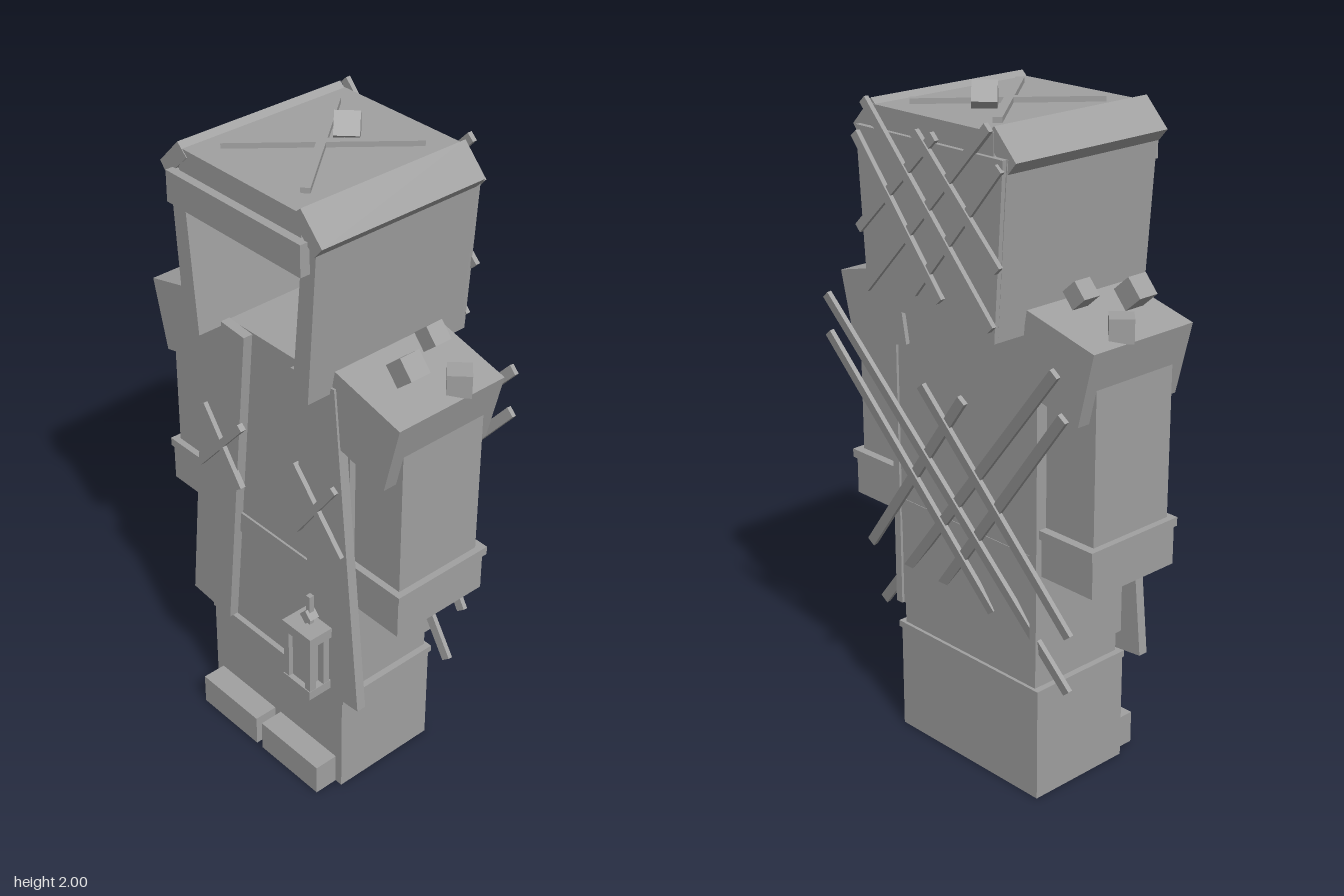
import * as THREE from 'three';

const grey = new THREE.MeshStandardMaterial({ color: 0xa0a0a0, flatShading: true });
grey.name = 'plain grey';

export function createModel() {
  const model = new THREE.Group();
  model.name = 'hoodedFigure';

  const add = (name, geo) => {
    const m = new THREE.Mesh(geo, grey);
    m.name = name;
    model.add(m);
    return m;
  };
  // box from its min and max on each axis
  const box = (name, x0, x1, y0, y1, z0, z1) => {
    const m = add(name, new THREE.BoxGeometry(Math.abs(x1 - x0), y1 - y0, z1 - z0));
    m.position.set((x0 + x1) / 2, (y0 + y1) / 2, (z0 + z1) / 2);
    return m;
  };
  // outline in x and y, mirrored by s, swept from z0 to z1
  const slab = (name, pts, s, z0, z1) => {
    const shape = new THREE.Shape(pts.map(([x, y]) => new THREE.Vector2(s * x, y)));
    const geo = new THREE.ExtrudeGeometry(shape, { depth: z1 - z0, bevelEnabled: false });
    return add(name, geo.translate(0, 0, z0));
  };
  // straight stick between two points, lying flat against a normal
  const stick = (name, a, b, width, thick, normal) => {
    const p = new THREE.Vector3(...a), q = new THREE.Vector3(...b);
    const dir = q.clone().sub(p), len = dir.length();
    dir.normalize();
    const side = new THREE.Vector3().crossVectors(dir, new THREE.Vector3(...normal)).normalize();
    const out = new THREE.Vector3().crossVectors(side, dir);
    const m = add(name, new THREE.BoxGeometry(width, len, thick));
    m.quaternion.setFromRotationMatrix(new THREE.Matrix4().makeBasis(side, dir, out));
    m.position.copy(p.add(q).multiplyScalar(0.5));
  };
  const cube = (name, size, x, y, z, ry, rz) => {
    const m = add(name, new THREE.BoxGeometry(size, size, size));
    m.position.set(x, y, z);
    m.rotation.set(0, ry, rz, 'YXZ');
  };

  // legs, torso, belt and hem
  box('legs', -0.29, 0.288, 0, 0.35, -0.165, 0.18);
  box('torso', -0.275, 0.275, 0.35, 1.4, -0.16, 0.165);
  box('coatBack', -0.275, 0.275, 0.42, 1.4, -0.17, -0.16);
  box('belt', -0.28, 0.28, 0.69, 0.76, -0.172, 0.172);
  box('hem', -0.295, 0.295, 0.33, 0.35, -0.17, 0.182);

  for (const s of [-1, 1]) {
    box('shoe', s * 0.0125, s * 0.263, 0, 0.1, 0.17, 0.255);
    box('coatSide', s * 0.27, s * 0.295, 0.42, 1.4, -0.178, 0.165);
    // coat front flap and its stitched cross
    slab('coatFlap', [[0.095, 1.395], [0.265, 1.41], [0.37, 0.368], [0.2, 0.352]], s, 0.165, 0.195);
    stick('chestStitch', [s * 0.11, 1.1, 0.2], [s * 0.3, 0.885, 0.2], 0.022, 0.018, [0, 0, 1]);
    stick('chestStitch', [s * 0.275, 1.1, 0.2], [s * 0.12, 0.885, 0.2], 0.022, 0.018, [0, 0, 1]);
    // arm, cuff and cuff trim
    box('arm', s * 0.27, s * 0.472, 0.83, 1.36, -0.142, 0.145);
    box('cuff', s * 0.25, s * 0.485, 0.705, 0.83, -0.158, 0.16);
    box('cuffTrim', s * 0.245, s * 0.492, 0.82, 0.846, -0.168, 0.165);
    // sloping shoulder pad with crystals
    slab('shoulderPad', [[0.26, 1.46], [0.5, 1.4], [0.448, 1.19], [0.22, 1.245]], s, -0.183, 0.188);
    cube('shoulderCrystal', 0.066, s * 0.467, 1.433, -0.05, Math.PI / 4, 0);
    cube('shoulderCrystal', 0.066, s * 0.403, 1.488, 0.07, 0, s * 0.72);
    cube('shoulderCrystal', 0.056, s * 0.345, 1.5, -0.072, 0, s * 0.72);
    // hood wall, leaning in towards the neck, and slanted roof edge
    slab('hoodWall', [[0.285, 1.87], [0.25, 1.39], [0.19, 1.39], [0.235, 1.87]], s, -0.275, 0.27);
    slab('roofEdge', [[0.312, 1.865], [0.235, 1.945], [0.2, 1.912], [0.283, 1.832]], s, -0.272, 0.277);
    stick('roofCross', [-0.165, 1.937, s * -0.195], [0.165, 1.937, s * 0.2], 0.025, 0.016, [0, 1, 0]);
    // lattice of sticks on the back and on the hood
    for (const [x0, y0, x1, y1] of [[0.45, 1.36, -0.39, 0.38], [0.465, 1.24, -0.11, 0.53], [0.08, 1.18, -0.415, 0.57]]) {
      const z = (y) => -0.092 - 0.13 * y - (s > 0 ? 0.006 : 0);
      stick('backStick', [s * x0, y0, z(y0)], [s * x1, y1, z(y1)], 0.03, 0.014, [0, 0.13, 1]);
    }
    for (const [x0, y0, x1, y1] of [[0.235, 1.945, -0.25, 1.43], [0.275, 1.85, -0.055, 1.46], [0.035, 1.89, -0.275, 1.59]]) {
      const z = s > 0 ? -0.296 : -0.291;
      stick('hoodStick', [s * x0, y0, z], [s * x1, y1, z], 0.027, 0.014, [0, 0, 1]);
    }
  }

  // hood back, roof, brim and top crystal
  slab('hoodBack', [[0.282, 1.87], [0.25, 1.39], [-0.25, 1.39], [-0.282, 1.87]], 1, -0.288, -0.235);
  box('roof', -0.235, 0.235, 1.86, 1.93, -0.275, 0.275);
  box('brim', -0.26, 0.26, 1.775, 1.865, 0.265, 0.3);
  cube('topCrystal', 0.068, 0, 1.952, -0.085, -Math.PI / 4, Math.PI / 4);

  // hanging lantern
  box('lanternCap', 0.14, 0.26, 0.575, 0.608, 0.185, 0.275);
  box('lanternBase', 0.142, 0.256, 0.38, 0.41, 0.195, 0.275);
  box('lanternGlass', 0.165, 0.233, 0.41, 0.575, 0.21, 0.258);
  for (const x of [0.142, 0.233]) {
    for (const z of [0.2, 0.25]) box('lanternPost', x, x + 0.022, 0.4, 0.58, z, z + 0.022);
  }
  cube('lanternKnob', 0.032, 0.2, 0.635, 0.225, 0, Math.PI / 4);
  box('lanternHook', 0.192, 0.208, 0.6, 0.705, 0.215, 0.231);

  return model;
}
